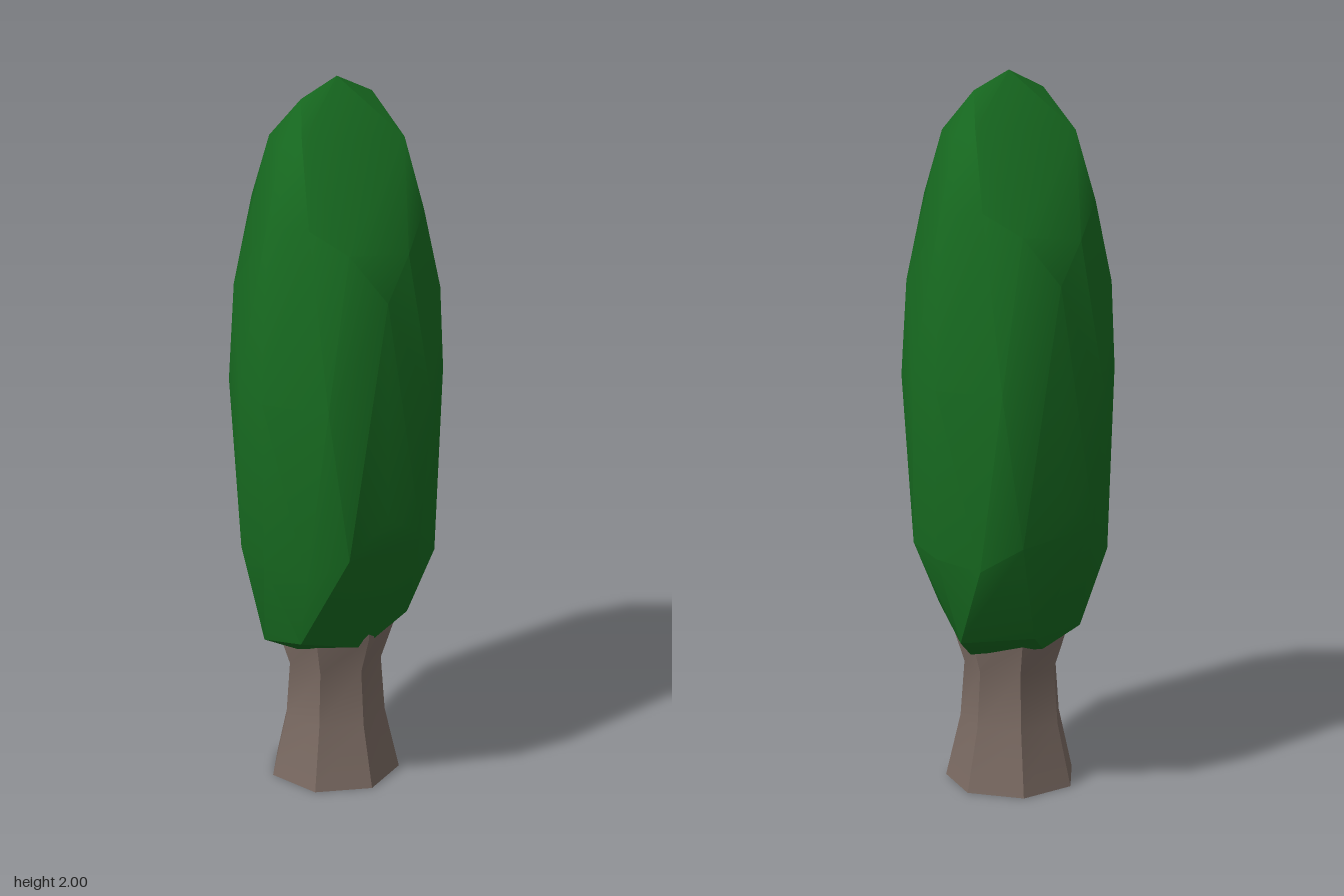
import * as THREE from 'three';
import { toCreasedNormals } from 'three/addons/utils/BufferGeometryUtils.js';
import { ConvexGeometry } from 'three/addons/geometries/ConvexGeometry.js';

// Faceted crown: the dome and sides repeat after a half turn about y
function crownGeometry() {
  const half = [
    // domed top
    [-0.09, 1.95, 0.068], [-0.08, 1.86, 0.18], [-0.055, 1.65, 0.29], [0.05, 1.59, 0.31],
    [0.15, 1.46, 0.29], [0.2, 1.57, 0.2], [0.235, 1.66, 0.065], [0.18, 1.84, 0],
    [-0.17, 1.64, 0.23], [-0.14, 1.83, 0.12],
    // sides
    [0.28, 1.43, 0], [0.265, 1.15, 0.16], [0, 1.18, 0.365], [-0.18, 1.18, 0.29],
    [-0.25, 1.2, 0.19], [-0.29, 1.18, 0.067], [0.155, 0.87, 0.31], [0.24, 0.8, 0.225],
    [0.055, 0.77, 0.363], [-0.06, 0.7, 0.343], [-0.18, 0.72, 0.29], [-0.25, 0.74, 0.19],
    [0.275, 0.7, 0.08],
  ];
  // uneven underside
  const underside = [
    [-0.08, 0.5, 0.3], [-0.19, 0.46, 0.18], [-0.1, 0.42, 0.15], [0.08, 0.42, 0.13],
    [0.2, 0.5, 0.05], [0.12, 0.47, -0.24], [0.1, 0.4, -0.12], [-0.08, 0.48, -0.22],
    [-0.1, 0.42, -0.12], [-0.2, 0.46, -0.02],
  ];
  const corners = [[0, 2, 0], ...half, ...half.map(([x, y, z]) => [-x, y, -z]), ...underside];
  const points = corners.map((c) => new THREE.Vector3(...c));
  return toCreasedNormals(new ConvexGeometry(points), 0.55);
}

// Seven-sided trunk, pinched at the waist and flared at both ends
function trunkGeometry() {
  const height = 0.52;
  const radii = [0.188, 0.146, 0.134, 0.17, 0.17];
  const levels = [0, 0.18, 0.34, 0.45, height];
  const geometry = new THREE.CylinderGeometry(1, 1, height, 7, 4, false, Math.PI / 2);
  const p = geometry.attributes.position;
  for (let i = 0; i < p.count; i++) {
    const k = Math.round((p.getY(i) / height + 0.5) * 4);
    p.setXYZ(i, p.getX(i) * radii[k] - 0.008, levels[k], p.getZ(i) * radii[k] + 0.01);
  }
  return toCreasedNormals(geometry, 0.6);
}

export function createModel() {
  const model = new THREE.Group();
  model.name = 'tree';
  const add = (name, geometry, color) => {
    const mesh = new THREE.Mesh(geometry, new THREE.MeshStandardMaterial({ color }));
    mesh.name = name;
    model.add(mesh);
  };
  add('trunk', trunkGeometry(), 0x7a6a62);
  add('crown', crownGeometry(), 0x176a20);
  return model;
}
